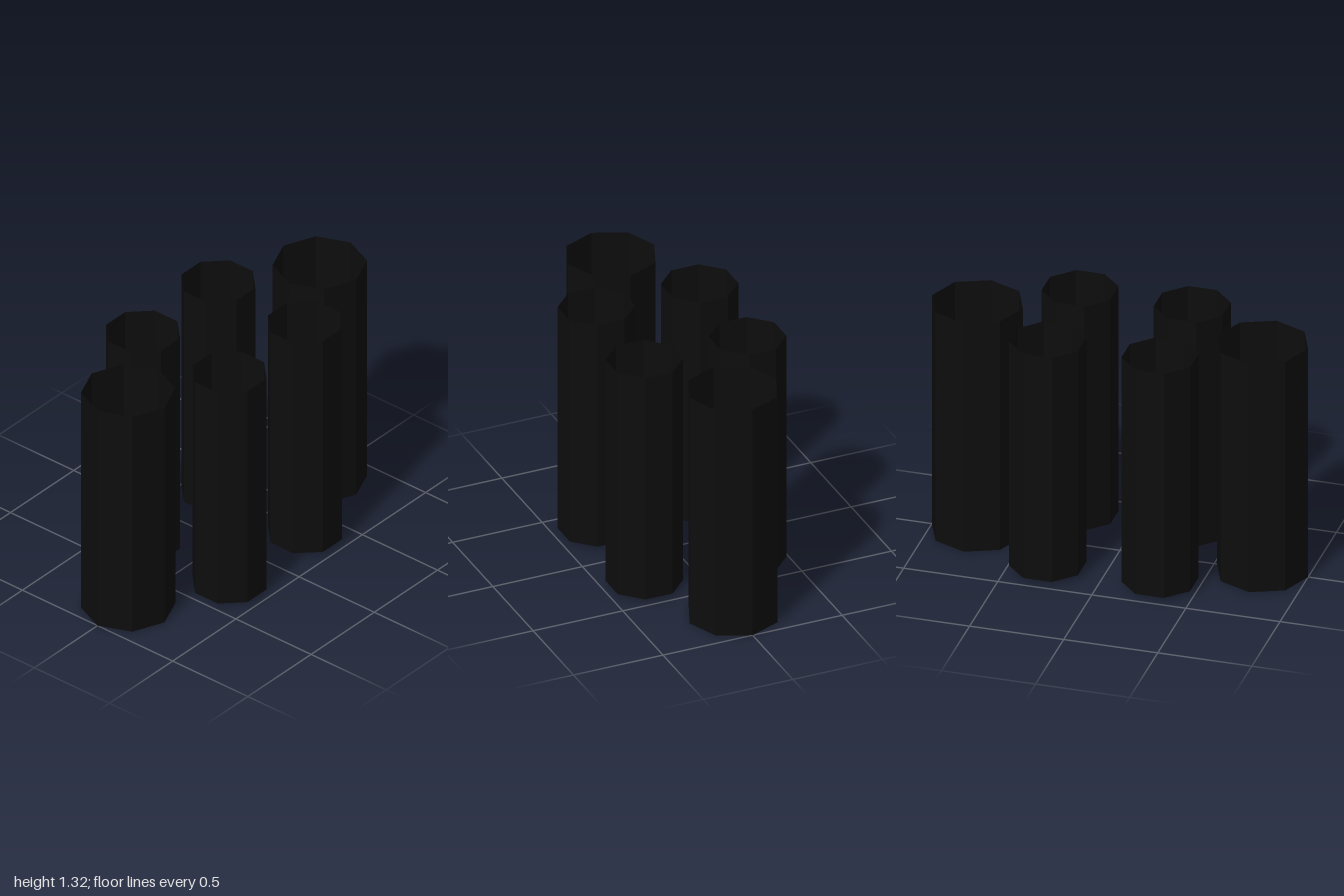
import * as THREE from 'three';

const TOP = 1.32;

export function createModel() {
  const group = new THREE.Group();
  group.name = 'tubeCluster';

  const black = new THREE.MeshStandardMaterial({ color: 0x0d0d0d, flatShading: true, side: THREE.DoubleSide });
  black.name = 'black';

  // Eight-sided cup: closed floor, thin wall, open top
  function addTube(name, radius, base, turn, x, z) {
    const profile = [
      new THREE.Vector2(0, 0),
      new THREE.Vector2(radius, 0),
      new THREE.Vector2(radius, TOP - base),
    ];
    const tube = new THREE.Mesh(new THREE.LatheGeometry(profile, 8, turn), black);
    tube.name = name;
    tube.position.set(x, base, z);
    group.add(tube);
  }

  for (const [side, s] of [['left', 1], ['right', -1]]) {
    // Large outer tubes, corners on the axes
    addTube(`${side}LargeTube`, 0.242, 0, 0, s * 0.758, 0);
    // Small inner tubes, flats on the axes, slightly raised
    for (const [end, e] of [['Front', 1], ['Back', -1]]) {
      addTube(`${side}${end}SmallTube`, 0.1975, 0.025, Math.PI / 8, s * 0.298, e * 0.288);
    }
  }
  return group;
}
